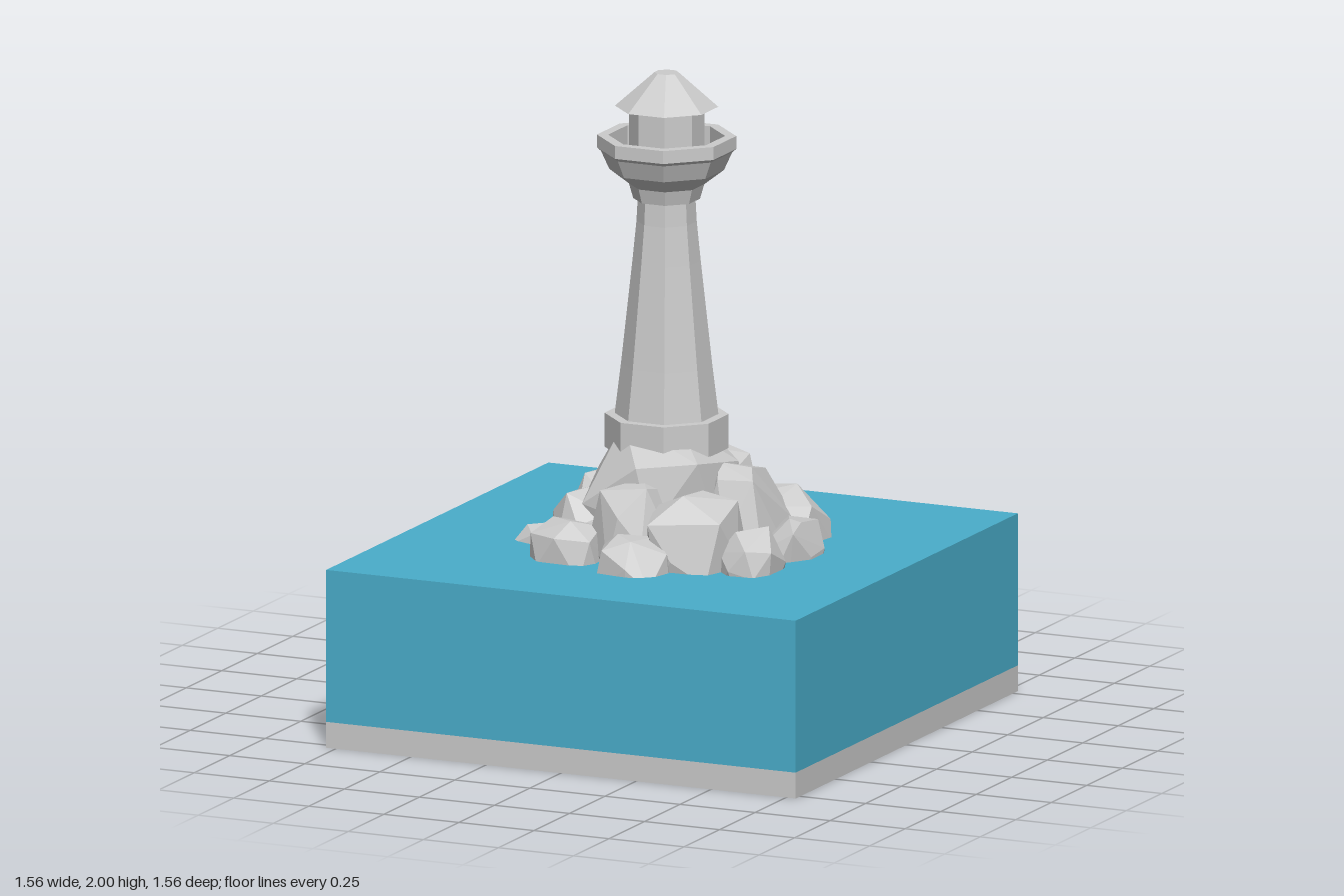
import * as THREE from 'three';
import { ConvexGeometry } from 'three/addons/geometries/ConvexGeometry.js';

const stone = new THREE.MeshStandardMaterial({ color: 0xcccccc, flatShading: true });
const water = new THREE.MeshStandardMaterial({ color: 0x4aaecb });

// Small seeded generator for the rock shapes
function seeded(seed) {
  let s = seed * 7919 + 13;
  return () => (s = (s * 16807) % 2147483647) / 2147483647;
}

function add(parent, name, geometry, material = stone) {
  const mesh = new THREE.Mesh(geometry, material);
  mesh.name = name;
  parent.add(mesh);
  return mesh;
}

// Eight-sided turned shape; profile is [distance to flat, height], bottom to top
function octagonal(profile) {
  const k = 1 / Math.cos(Math.PI / 8);
  const points = profile.map(([r, y]) => new THREE.Vector2(r * k, y));
  return new THREE.LatheGeometry(points, 8, Math.PI / 8);
}

// Faceted boulder: hull of jittered points on a blunt ball, fitted to a box
function boulder(seed, x0, x1, y0, y1, z0, z1) {
  const rand = seeded(seed);
  for (let i = 0; i < 5; i++) rand();
  const turn = new THREE.Euler(rand() * 6, rand() * 6, rand() * 6);
  const count = 20;
  const points = [];
  for (let i = 0; i < count; i++) {
    const y = 1 - (2 * (i + 0.5)) / count;
    const a = i * 2.39996 + (rand() - 0.5) * 0.7;
    const r = Math.sqrt(1 - y * y);
    const p = new THREE.Vector3(r * Math.cos(a), y, r * Math.sin(a)).applyEuler(turn);
    const norm = Math.cbrt(Math.abs(p.x) ** 3 + Math.abs(p.y) ** 3 + Math.abs(p.z) ** 3);
    points.push(p.multiplyScalar((0.92 + 0.12 * rand()) / norm));
  }
  const box = new THREE.Box3().setFromPoints(points);
  const size = box.getSize(new THREE.Vector3());
  const target = new THREE.Vector3(x1 - x0, y1 - y0, z1 - z0);
  for (const p of points) p.sub(box.min).divide(size).multiply(target).add(new THREE.Vector3(x0, y0, z0));
  return new ConvexGeometry(points);
}

export function createModel() {
  const model = new THREE.Group();
  model.name = 'lighthouseOnRocks';

  // Sea block on its bed
  add(model, 'seaBed', new THREE.BoxGeometry(1.564, 0.08, 1.564)).position.y = 0.04;
  add(model, 'sea', new THREE.BoxGeometry(1.564, 0.47, 1.564), water).position.y = 0.315;

  // Rocks: x from, x to, top, z from, z to
  const rocks = new THREE.Group();
  rocks.name = 'rocks';
  model.add(rocks);
  add(rocks, 'mainRock', boulder(3, -0.25, 0.2, 0.5, 0.93, -0.24, 0.26));
  [
    [-0.10, 0.14, 0.66, -0.45, -0.2],
    [-0.28, 0.0, 0.73, -0.36, -0.12],
    [-0.36, -0.12, 0.75, -0.23, 0.06],
    [-0.45, -0.24, 0.6, 0.02, 0.23],
    [-0.32, -0.1, 0.73, 0.03, 0.28],
    [-0.31, -0.08, 0.67, 0.2, 0.42],
    [-0.06, 0.17, 0.66, 0.28, 0.49],
    [-0.14, 0.1, 0.79, 0.12, 0.36],
    [0.04, 0.33, 0.77, 0.08, 0.38],
    [0.28, 0.46, 0.68, 0.11, 0.34],
    [0.3, 0.48, 0.66, -0.15, 0.13],
    [0.1, 0.36, 0.82, -0.19, 0.15],
    [0.13, 0.41, 0.71, -0.34, -0.08],
    [0.2, 0.39, 0.61, -0.36, -0.22],
    [-0.06, 0.2, 0.81, -0.33, -0.08],
    [-0.24, 0.02, 0.83, -0.24, 0.08],
  ].forEach(([x0, x1, top, z0, z1], i) => {
    add(rocks, 'rock' + (i + 1), boulder(i + 11, x0, x1, 0.42, top, z0, z1));
  });

  // Lighthouse
  const tower = new THREE.Group();
  tower.name = 'lighthouse';
  tower.position.x = -0.018;
  model.add(tower);
  add(tower, 'plinth', octagonal([[0, 0.84], [0.173, 0.84], [0.173, 0.945], [0, 0.945]]));
  add(tower, 'shaft', octagonal([[0.145, 0.94], [0.127, 1.1], [0.11, 1.27], [0.095, 1.42], [0.084, 1.54], [0.08, 1.62]]));

  // Flared gallery with a parapet and a sunken floor
  add(tower, 'gallery', octagonal([
    [0.07, 1.61], [0.093, 1.61], [0.105, 1.655], [0.16, 1.7], [0.183, 1.755],
    [0.194, 1.765], [0.194, 1.805], [0.163, 1.805], [0.163, 1.74], [0, 1.74],
  ]));
  add(tower, 'lanternRoom', octagonal([[0.105, 1.73], [0.105, 1.9]]));
  add(tower, 'roof', octagonal([[0, 1.895], [0.144, 1.895], [0.034, 2.0], [0, 2.0]]));

  return model;
}
